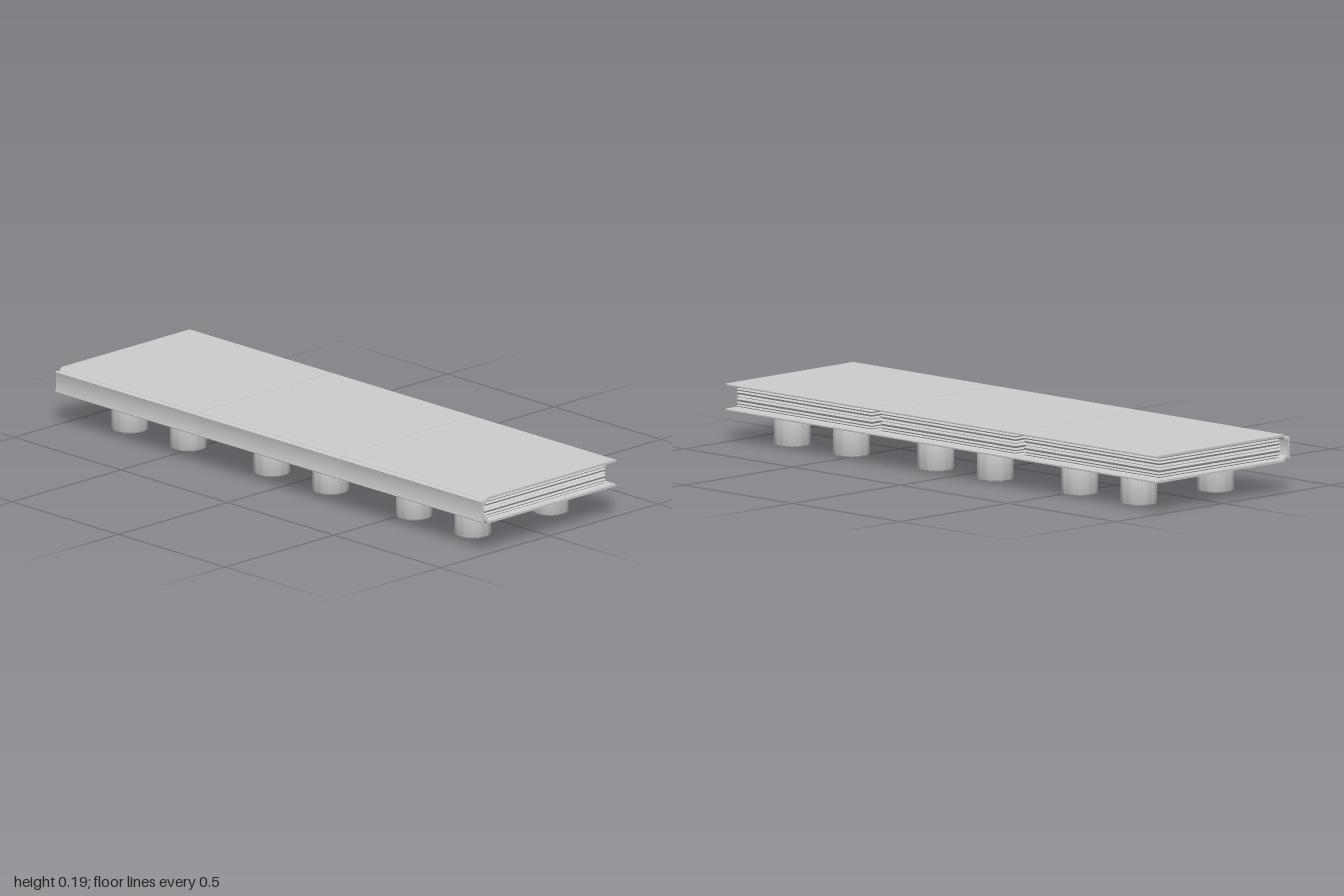
import * as THREE from 'three';
import { toCreasedNormals } from 'three/addons/utils/BufferGeometryUtils.js';

const LENGTH = 0.6655, PITCH = 0.667;
const MID = 0.149; // height of the middle of a book
const material = new THREE.MeshStandardMaterial({ color: 0xcccccc });

// Hard cover: boards, hinge grooves and spine as one profile, mirrored about MID
function coverGeometry() {
  const outer = [[0.306, 0.0455], [-0.283, 0.0455], [-0.287, 0.042], [-0.291, 0.034],
    [-0.296, 0.033], [-0.299, 0.0365], [-0.309, 0.0365], [-0.311, 0.034], [-0.308, 0.02], [-0.307, 0]];
  const inner = [[-0.301, 0], [-0.300, 0.014], [-0.297, 0.026], [-0.286, 0.028],
    [-0.282, 0.032], [-0.277, 0.038], [0.306, 0.038], [0.309, 0.0395], [0.309, 0.044]];
  const flip = (list) => list.map(([x, y]) => [x, -y]).reverse();
  const points = [...outer, ...flip(outer.slice(0, -1)), ...flip(inner.slice(1)), ...inner];
  const shape = new THREE.Shape(points.map(([x, y]) => new THREE.Vector2(x, y)));
  const geometry = new THREE.ExtrudeGeometry(shape, { depth: LENGTH, bevelEnabled: false });
  return toCreasedNormals(geometry.translate(0, MID, -LENGTH / 2), 0.4);
}

// Page block: stacked rectangles, ridged on three edges and rounded at the spine
function pagesGeometry() {
  const levels = [-0.038, -0.034, -0.030, -0.026, -0.021, -0.016, -0.008, -0.001,
    0.002, 0.008, 0.015, 0.020, 0.025, 0.030, 0.034, 0.038];
  const positions = [], index = [];
  levels.forEach((y, i) => {
    const groove = i % 2 ? 0.006 : 0;
    const x0 = -0.284 + 0.014 * Math.pow(Math.abs(y) / 0.038, 3);
    const x1 = 0.279 - groove;
    const z = LENGTH / 2 - 0.018 - groove;
    positions.push(x0, MID + y, z, x1, MID + y, z, x1, MID + y, -z, x0, MID + y, -z);
    if (i === 0) return;
    const a = (i - 1) * 4, b = i * 4;
    for (let k = 0; k < 4; k++) {
      const n = (k + 1) % 4;
      index.push(a + k, a + n, b + n, a + k, b + n, b + k);
    }
  });
  const t = (levels.length - 1) * 4;
  index.push(0, 2, 1, 0, 3, 2, t, t + 1, t + 2, t, t + 2, t + 3);
  const geometry = new THREE.BufferGeometry();
  geometry.setAttribute('position', new THREE.Float32BufferAttribute(positions, 3));
  geometry.setIndex(index);
  return toCreasedNormals(geometry, 0.3);
}

// Round foot with softened rims
function footGeometry() {
  const profile = [[0, 0], [0.055, 0], [0.0585, 0.0015], [0.06, 0.005],
    [0.06, 0.097], [0.0585, 0.101], [0.055, 0.1035], [0, 0.1035]];
  const lathe = new THREE.LatheGeometry(profile.map(([x, y]) => new THREE.Vector2(x, y)), 40);
  return toCreasedNormals(lathe, 0.8);
}

export function createModel() {
  const model = new THREE.Group();
  model.name = 'bookBench';
  const cover = coverGeometry(), pages = pagesGeometry(), foot = footGeometry();

  // Three books in a row, each on four feet
  for (let i = -1; i <= 1; i++) {
    const book = new THREE.Group();
    book.name = 'book';
    book.position.z = i * PITCH;
    const add = (name, geometry, x = 0, z = 0) => {
      const mesh = new THREE.Mesh(geometry, material);
      mesh.name = name;
      mesh.position.set(x, 0, z);
      book.add(mesh);
    };
    add('cover', cover);
    add('pages', pages);
    for (const x of [-0.163, 0.194]) {
      for (const z of [-0.135, 0.14]) add('foot', foot, x, z);
    }
    model.add(book);
  }
  return model;
}
